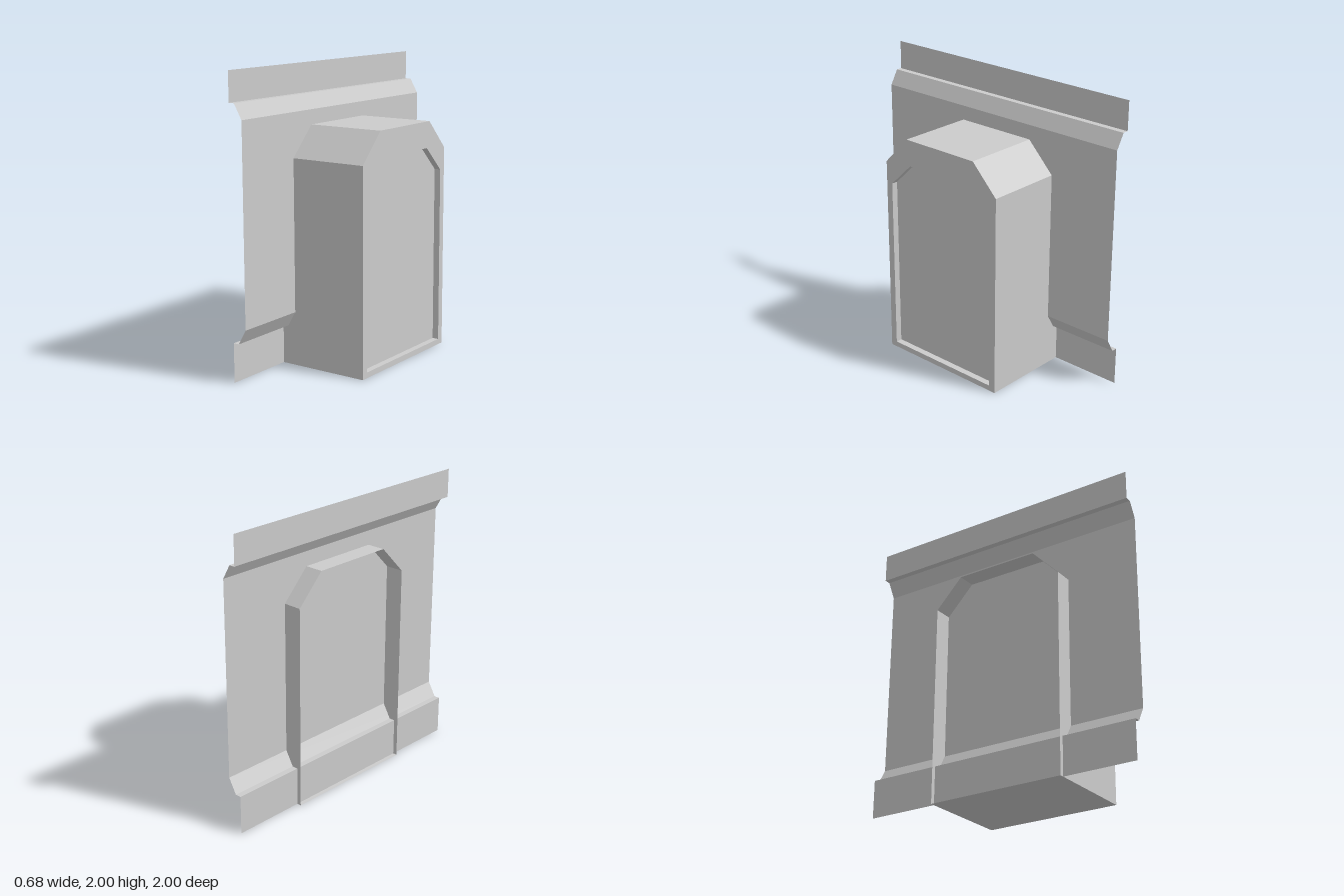
import * as THREE from 'three';

const material = new THREE.MeshStandardMaterial({ color: 0xcccccc, flatShading: true, side: THREE.DoubleSide });

// Joins successive rows of points with flat quads; closed rows wrap round.
function skin(name, rows, closed) {
  const pos = [];
  for (let r = 0; r < rows.length - 1; r++) {
    const a = rows[r], b = rows[r + 1], n = a.length;
    for (let i = 0; i < (closed ? n : n - 1); i++) {
      const j = (i + 1) % n;
      pos.push(...a[i], ...a[j], ...b[j], ...a[i], ...b[j], ...b[i]);
    }
  }
  return toMesh(name, pos);
}

// Fills a convex ring of points.
function fill(name, ring) {
  const pos = [];
  for (let i = 1; i < ring.length - 1; i++) pos.push(...ring[0], ...ring[i], ...ring[i + 1]);
  return toMesh(name, pos);
}

function toMesh(name, pos) {
  const geometry = new THREE.BufferGeometry();
  geometry.setAttribute('position', new THREE.Float32BufferAttribute(pos, 3));
  geometry.computeVertexNormals();
  const mesh = new THREE.Mesh(geometry, material);
  mesh.name = name;
  return mesh;
}

// Arch outline with chamfered top corners, in the plane at x.
function arch(x, halfWidth, halfTop, bottom, shoulder, top) {
  return [
    [x, bottom, halfWidth], [x, bottom, -halfWidth], [x, shoulder, -halfWidth],
    [x, top, -halfTop], [x, top, halfTop], [x, shoulder, halfWidth],
  ];
}

export function createModel() {
  const group = new THREE.Group();
  group.name = 'wallWithDoorway';

  // Thin wall sheet: base strip, raised main panel, top strip
  const profile = [
    [-0.308, 0], [-0.308, 0.265], [-0.266, 0.265], [-0.208, 0.365],
    [-0.208, 1.7], [-0.266, 1.8], [-0.308, 1.8], [-0.308, 2],
  ];
  group.add(skin('wallPanel', profile.map(([x, y]) => [[x, y, 1], [x, y, -1]]), false));

  // Doorway: shell open at the back, front rim and recessed door
  const outer = (x) => arch(x, 0.49, 0.295, 0, 1.4, 1.6);
  const inner = (x) => arch(x, 0.442, 0.265, 0.038, 1.25, 1.42);
  const front = 0.338, recess = 0.293;
  const doorway = new THREE.Group();
  doorway.name = 'doorway';
  doorway.add(
    skin('doorwayShell', [outer(-front), outer(front)], true),
    skin('doorFrame', [outer(front), inner(front), inner(recess)], true),
    fill('doorPanel', inner(recess)),
  );
  group.add(doorway);
  return group;
}
